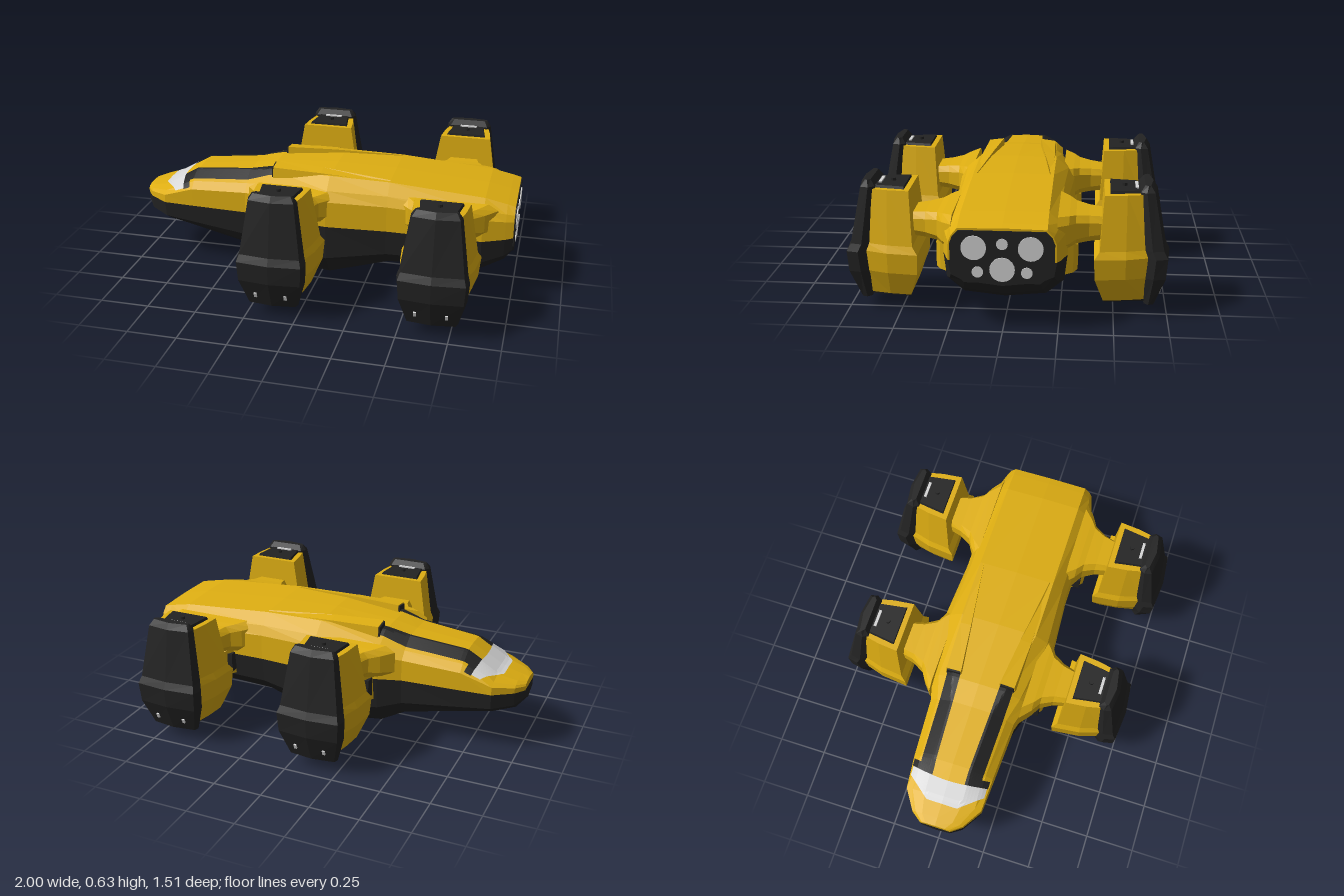
import * as THREE from 'three';

const mat = (name, color) => Object.assign(new THREE.MeshStandardMaterial({ color, flatShading: true }), { name });
const yellow = mat('hull yellow', 0xdeae12);
const black = mat('armour black', 0x232323);
const light = mat('lamp white', 0xd6d6d6);
const grey = mat('vent grey', 0x606060);
const lerp = THREE.MathUtils.lerp;

function add(parent, name, geo, material, x = 0, y = 0, z = 0) {
  const m = new THREE.Mesh(geo, material);
  m.name = name;
  m.position.set(x, y, z);
  parent.add(m);
  return m;
}

function flatGeo(tris) {
  const g = new THREE.BufferGeometry();
  g.setAttribute('position', new THREE.Float32BufferAttribute(tris.flat(2), 3));
  g.computeVertexNormals();
  return g;
}

// Capped skin over equal-length rings, turned so that faces point outward
function loft(rings) {
  const tris = [], n = rings[0].length, last = rings[rings.length - 1];
  for (let i = 0; i < rings.length - 1; i++) {
    for (let j = 0; j < n; j++) {
      const k = (j + 1) % n, a = rings[i], b = rings[i + 1];
      tris.push([a[j], a[k], b[k]], [a[j], b[k], b[j]]);
    }
  }
  for (let j = 1; j < n - 1; j++) {
    tris.push([rings[0][0], rings[0][j + 1], rings[0][j]], [last[0], last[j], last[j + 1]]);
  }
  let vol = 0;
  const v = (p) => new THREE.Vector3(...p);
  for (const [a, b, c] of tris) vol += v(a).dot(v(b).cross(v(c)));
  return flatGeo(vol < 0 ? tris.map(([a, b, c]) => [a, c, b]) : tris);
}

// Hull stations: x, roof height, roof half width, hull half width, keel half width, keel height
const stations = [
  [-1, .36, .05, .08, .05, .25],
  [-.96, .37, .08, .135, .08, .2],
  [-.86, .395, .1, .2, .13, .18],
  [-.7, .49, .1, .21, .14, .15],
  [-.4, .52, .11, .225, .16, .09],
  [-.28, .545, .14, .26, .18, .03],
  [.05, .565, .2, .3, .2, 0],
  [.36, .56, .2, .28, .19, .09],
  [.84, .525, .2, .285, .19, .11],
  [.95, .502, .2, .255, .18, .17],
  [.99, .492, .2, .243, .17, .22],
];

// Half section [z, y] from top centre over the seam (5th point) to the keel
function halfSection([x, roof, flat, w, keel, bottom]) {
  const seam = .32 + Math.max(0, x - .9) * .2;
  return [[0, roof], [flat, roof - .004], [lerp(flat, w, .65), lerp(roof, seam, .25)], [w * .99, lerp(roof, seam, .45)],
    [w, seam], [w * .95, lerp(seam, bottom, .58)], [keel, bottom + .02], [0, bottom]];
}

const hullPart = (from, to) => loft(stations.map((station) => {
  const x = station[0], half = halfSection(station).slice(from, to);
  const mirrored = half.filter((p) => p[0] > 0).reverse().map(([z, y]) => [x, y, -z]);
  return [...half.map(([z, y]) => [x, y, z]), ...mirrored];
}));

// Height of the hull's upper skin
function skin(x, z) {
  let i = 0;
  while (i < stations.length - 2 && x > stations[i + 1][0]) i++;
  const a = stations[i], b = stations[i + 1], t = (x - a[0]) / (b[0] - a[0]);
  const s = halfSection(a.map((value, k) => lerp(value, b[k], t)));
  for (let k = 0; k < 4; k++) {
    if (Math.abs(z) <= s[k + 1][0]) {
      return lerp(s[k][1], s[k + 1][1], (Math.abs(z) - s[k][0]) / (s[k + 1][0] - s[k][0]));
    }
  }
  return s[4][1];
}

// Painted patch lying on the skin; f(u, v) gives [x, z]
function patch(f, nu, nv) {
  const tris = [];
  const p = (i, j) => {
    const [x, z] = f(i / nu, j / nv);
    return [x, skin(x, z) + .006, z];
  };
  for (let i = 0; i < nu; i++) {
    for (let j = 0; j < nv; j++) {
      const a = p(i, j), b = p(i + 1, j), c = p(i + 1, j + 1), d = p(i, j + 1);
      const up = (b[2] - a[2]) * (d[0] - a[0]) - (b[0] - a[0]) * (d[2] - a[2]) > 0;
      tris.push(...(up ? [[a, b, c], [a, c, d]] : [[a, c, b], [a, d, c]]));
    }
  }
  return flatGeo(tris);
}

// Hover pod, pylon and intake; local +z points away from the hull
function makePod(front) {
  const g = new THREE.Group();
  g.name = 'podAssembly';
  const trapezoid = (y, a, b, zi, zo) => [[-a, y, zi], [a, y, zi], [b, y, zo], [-b, y, zo]];
  add(g, 'podBody', loft([[.08, .135, .45], [.2, .185, .41], [.3, .195, .405], [.335, .178, .43], [.59, .135, .447]]
    .map(([y, a, zi]) => [[-a, y, zi], [a, y, zi], [a * .92, y, .55], [a * .75, y, .655], [-a * .75, y, .655], [-a * .92, y, .55]])), yellow);
  add(g, 'podShell', loft([[.06, .125, .64, .7], [.2, .165, .64, .75], [.3, .172, .65, .757],
    [.335, .16, .635, .738], [.6, .12, .61, .69], [.63, .1, .63, .67]].map(([y, h, zi, zo]) => [
    [-h * .85, y, zi], [-h, y, lerp(zi, zo, .35)], [-h * .93, y, zo - .015], [0, y, zo],
    [h * .93, y, zo - .015], [h, y, lerp(zi, zo, .35)], [h * .85, y, zi]])), black);

  // Black end caps, vent and top fittings
  add(g, 'podTopCap', loft([trapezoid(.57, .115, .085, .47, .65), trapezoid(.602, .1, .075, .475, .645)]), black);
  add(g, 'podBottomCap', loft([trapezoid(.068, .12, .095, .455, .655), trapezoid(.1, .135, .1, .455, .655)]), black);
  add(g, 'podVent', loft([trapezoid(.063, .08, .06, .49, .62), trapezoid(.07, .08, .06, .49, .62)]), grey);
  add(g, 'topLamp', new THREE.BoxGeometry(.09, .008, .014), light, 0, .605, .595);
  add(g, 'topPeg', new THREE.CylinderGeometry(.012, .012, .02, 8), black, 0, .605, .54);
  for (const s of [-1, 1]) {
    add(g, 'shellLamp', new THREE.BoxGeometry(.014, .026, .008), light, s * .075, .12, .716).rotation.x = .34;
  }

  // Pylon flaring into the hull
  add(g, 'pylon', loft([[.24, .25, .34, .505], [.29, .19, .345, .495], [.32, .14, .35, .487], [.38, .107, .355, .478], [.46, .087, .36, .47]]
    .map(([z, h, lo, hi]) => [[-h, lo + .03, z], [-h * .8, lo, z], [h * .8, lo, z], [h, lo + .03, z],
      [h, hi - .03, z], [h * .8, hi, z], [-h * .8, hi, z], [-h, hi - .03, z]])), yellow);

  // Side intake under the pylon
  add(g, 'intake', loft([[.24, .15, .2, .37], [.31, .12, .21, .355], [.33, .1, .22, .34]]
    .map(([z, h, lo, hi]) => [[-h, lo, z], [h, lo, z], [h, hi, z], [-h, hi, z]])), yellow);
  add(g, 'intakeMouth', new THREE.BoxGeometry(.03, .1, .05), black, front * .125, .28, .292);
  return g;
}

export function createModel() {
  const ship = new THREE.Group();
  ship.name = 'hoverShip';
  add(ship, 'upperHull', hullPart(0, 5), yellow);
  add(ship, 'lowerHull', hullPart(4, 8), black);

  // Wraparound windshield
  const back = (z) => -.78 + .7 * z * z;
  add(ship, 'windshield', patch((u, v) => {
    const z = lerp(-.195, .195, u);
    const front = -.89 + Math.max(0, Math.abs(z) - .08) * .8;
    return [lerp(front, back(z), v), z];
  }, 24, 6), light);

  for (const s of [-1, 1]) {
    // Black trim behind the glass and the stripe leading to the ridge
    add(ship, 'windshieldTrim', patch((u, v) => {
      const z = lerp(.085, .2, u);
      return [back(z) + .035 * v, s * z];
    }, 8, 2), black);
    add(ship, 'stripe', patch((u, v) => [lerp(-.745, -.26, u), s * lerp(lerp(.085, .105, u), lerp(.16, .175, u), v)], 24, 6), black);

    // Tapering dorsal ridge with a dark mouth
    const ridge = (x, a, b, y) => [[x, .48, s * a], [x, y, s * (a + .008)], [x, y - .01, s * (b - .01)], [x, .48, s * b]];
    add(ship, 'dorsalRidge', loft([ridge(-.255, .095, .19, .58), ridge(0, .125, .2, .577), ridge(.36, .172, .2, .56)]), yellow);
    add(ship, 'ridgeMouth', loft([ridge(-.263, .1, .185, .575), ridge(-.255, .1, .185, .575)]), black);

    // Pods at both ends of each side
    for (const x of [-.12, .66]) {
      const pod = makePod(-s);
      pod.position.x = x;
      if (s < 0) pod.rotation.y = Math.PI;
      ship.add(pod);
    }
  }

  // Stern plate with engine nozzles
  const side = [[.195, .48], [.222, .452], [.234, .42], [.234, .29], [.17, .235]];
  const outline = [...side, ...side.map(([z, y]) => [-z, y]).reverse()];
  add(ship, 'sternPlate', loft([.987, .995].map((x) => outline.map(([z, y]) => [x, y, z]))), black);
  for (const [z, y, r] of [[.127, .4, .057], [-.127, .4, .057], [0, .3, .057], [0, .42, .026], [.11, .287, .026], [-.11, .287, .026]]) {
    add(ship, 'engineNozzle', new THREE.CylinderGeometry(r, r, .008, 20), light, .996, y, z).rotation.z = -Math.PI / 2;
  }
  return ship;
}
